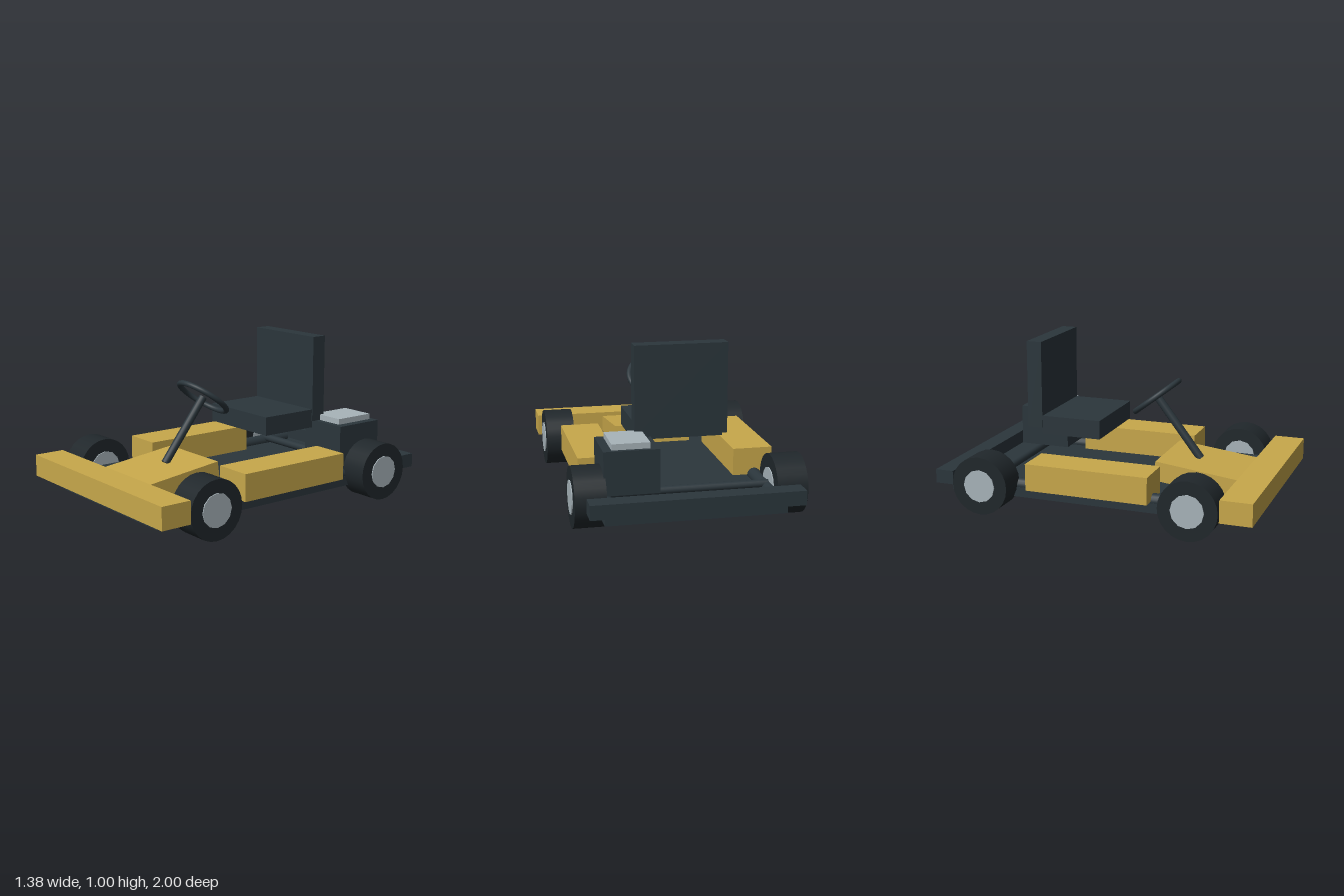
import * as THREE from 'three';

const paint = (color) => new THREE.MeshStandardMaterial({ color });

export function createModel() {
  const kart = new THREE.Group();
  kart.name = 'goKart';
  const dark = paint(0x2b363c);
  const rubber = paint(0x20272b);
  const yellow = paint(0xc8a84b);
  const metal = paint(0xa8b4ba);

  const add = (name, geometry, material, parent = kart) => {
    const mesh = new THREE.Mesh(geometry, material);
    mesh.name = name;
    parent.add(mesh);
    return mesh;
  };

  // Box given by its [min, max] extent on each axis
  const box = (name, material, [x0, x1], [y0, y1], [z0, z1]) => {
    const mesh = add(name, new THREE.BoxGeometry(x1 - x0, y1 - y0, z1 - z0), material);
    mesh.position.set((x0 + x1) / 2, (y0 + y1) / 2, (z0 + z1) / 2);
    return mesh;
  };

  // Round bar between two points
  const bar = (name, material, radius, from, to) => {
    const a = new THREE.Vector3(...from);
    const b = new THREE.Vector3(...to);
    const dir = b.clone().sub(a);
    const mesh = add(name, new THREE.CylinderGeometry(radius, radius, dir.length(), 16), material);
    mesh.position.copy(a).add(b).multiplyScalar(0.5);
    mesh.quaternion.setFromUnitVectors(new THREE.Vector3(0, 1, 0), dir.normalize());
    return mesh;
  };

  // Chassis
  box('floorPan', dark, [-0.52, 0.52], [0.09, 0.15], [-0.94, 0.92]);
  box('frontBumper', yellow, [-0.69, 0.69], [0.145, 0.28], [0.81, 1]);
  box('rearBumper', dark, [-0.61, 0.61], [0.15, 0.235], [-1, -0.885]);
  bar('rearAxle', dark, 0.025, [-0.54, 0.185, -0.675], [0.54, 0.185, -0.675]);

  // Sloping nose panel
  const nose = add('nosePanel', new THREE.BoxGeometry(0.49, 0.12, 0.54), yellow);
  nose.position.set(0, 0.225, 0.55);
  nose.rotation.x = 0.12;

  for (const side of [-1, 1]) {
    const prefix = side > 0 ? 'left' : 'right';

    // Frame rail and side pod
    bar(prefix + 'Rail', dark, 0.04, [side * 0.48, 0.16, -0.86], [side * 0.48, 0.16, 0.86]);
    const pod = box(prefix + 'SidePod', yellow, [0.35, 0.59], [0.16, 0.325], [-0.41, 0.355]);
    pod.position.x *= side;

    // Wheels: tyre with a hub showing on both faces
    for (const [end, z] of [['Front', 0.62], ['Rear', -0.675]]) {
      const wheel = new THREE.Group();
      wheel.name = prefix + end + 'Wheel';
      wheel.position.set(side * 0.58, 0.182, z);
      wheel.rotation.z = Math.PI / 2;
      add('tyre', new THREE.CylinderGeometry(0.178, 0.178, 0.18, 24), rubber, wheel);
      add('hub', new THREE.CylinderGeometry(0.1, 0.1, 0.192, 12), metal, wheel);
      kart.add(wheel);
    }
  }

  // Seat
  box('seatCushion', dark, [-0.27, 0.27], [0.425, 0.54], [-0.44, -0.06]);
  box('seatBack', dark, [-0.275, 0.275], [0.465, 1], [-0.53, -0.435]);

  // Engine beside the seat
  box('engineBlock', dark, [0.18, 0.5], [0.21, 0.465], [-0.79, -0.465]);
  box('engineCover', metal, [0.23, 0.45], [0.465, 0.5], [-0.765, -0.5]);

  // Steering column and wheel share one axis
  const column = bar('steeringColumn', dark, 0.025, [0, 0.29, 0.5], [0, 0.658, 0.215]);
  const rim = add('steeringWheel', new THREE.TorusGeometry(0.163, 0.017, 12, 36), dark);
  rim.geometry.rotateX(Math.PI / 2);
  rim.position.set(0, 0.658, 0.215);
  rim.quaternion.copy(column.quaternion);

  return kart;
}
